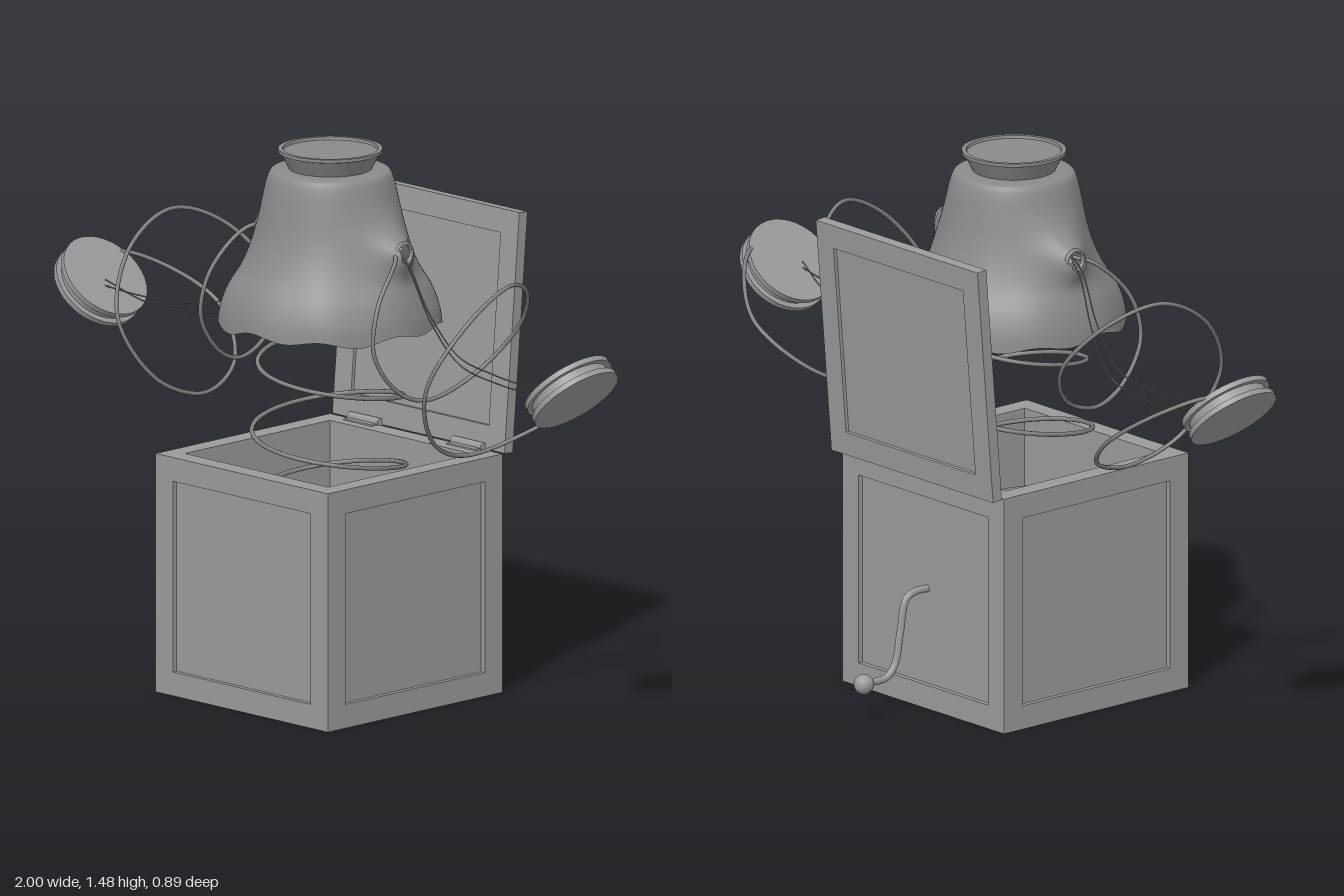
import * as THREE from 'three';
import { mergeVertices } from 'three/addons/utils/BufferGeometryUtils.js';

const grey = new THREE.MeshStandardMaterial({ color: 0x9a9a9a });
const wireGrey = new THREE.MeshStandardMaterial({ color: 0x808080 });
const gownGrey = new THREE.MeshStandardMaterial({ color: 0x8a8a8a, side: THREE.DoubleSide });

function add(parent, name, geometry, material = grey) {
  const mesh = new THREE.Mesh(geometry, material);
  mesh.name = name;
  parent.add(mesh);
  return mesh;
}

function tube(points, radius, segments = 120, sides = 8) {
  const curve = new THREE.CatmullRomCurve3(points.map(p => new THREE.Vector3(...p)));
  return new THREE.TubeGeometry(curve, segments, radius, sides);
}

// Framed board standing on y = 0, outer face at z = 0, with a recessed panel
function framedBoard(name, w, h, bx, by, t, recess, recessInside) {
  const board = new THREE.Group();
  board.name = name;
  const rect = (path, x, y0, y1) =>
    path.moveTo(-x, y0).lineTo(x, y0).lineTo(x, y1).lineTo(-x, y1).closePath();
  const shape = new THREE.Shape();
  rect(shape, w / 2, 0, h);
  const hole = new THREE.Path();
  rect(hole, w / 2 - bx, by, h - by);
  shape.holes.push(hole);
  const frame = new THREE.ExtrudeGeometry(shape, { depth: t, bevelEnabled: false });
  add(board, 'frame', frame.translate(0, 0, -t));
  const depth = t - recess - recessInside;
  const panel = new THREE.BoxGeometry(w - 2 * bx, h - 2 * by, depth);
  add(board, 'panel', panel.translate(0, h / 2, -recess - depth / 2));
  return board;
}

function createBox() {
  const box = new THREE.Group();
  box.name = 'box';
  box.position.z = 0.12;
  const wall = 0.055;
  for (let i = 0; i < 4; i++) {
    const side = i % 2 === 1; // side walls fit between the front and back
    const board = framedBoard('wall', side ? 0.54 : 0.65, 0.65, side ? 0.01 : 0.065, 0.065, wall, 0.014, 0);
    const turn = new THREE.Group();
    turn.name = 'wallSide';
    board.position.z = 0.325;
    turn.rotation.y = i * Math.PI / 2;
    turn.add(board);
    box.add(turn);
  }
  add(box, 'floor', new THREE.BoxGeometry(0.54, 0.03, 0.54).translate(0, 0.015, 0));
  return box;
}

// Open lid, leaning slightly back, with its hinges
function createLid() {
  const group = new THREE.Group();
  group.name = 'lidAssembly';
  const lid = framedBoard('lid', 0.65, 0.65, 0.065, 0.065, 0.031, 0.01, 0.01);
  lid.position.set(0, 0.65, -0.213);
  lid.rotation.x = -0.085;
  group.add(lid);
  for (const x of [-0.195, 0.195]) {
    const pin = new THREE.CylinderGeometry(0.012, 0.012, 0.115, 16).rotateZ(Math.PI / 2);
    add(group, 'hingePin', pin).position.set(x, 0.656, -0.207);
    add(group, 'hingeLeaf', new THREE.BoxGeometry(0.105, 0.004, 0.03)).position.set(x, 0.652, -0.193);
  }
  return group;
}

function createCrank() {
  const crank = new THREE.Group();
  crank.name = 'crank';
  add(crank, 'crankRod', tube([
    [0, 0.327, -0.18], [0, 0.327, -0.235], [0, 0.312, -0.266], [0, 0.22, -0.287],
    [0, 0.14, -0.305], [0, 0.11, -0.333], [0, 0.106, -0.41]], 0.01, 60, 12));
  add(crank, 'crankKnob', new THREE.SphereGeometry(0.027, 24, 16)).position.set(0, 0.106, -0.415);
  return crank;
}

// Hollow bell-shaped gown with arm holes and a wavy hem
function createGown() {
  const gown = new THREE.Group();
  gown.name = 'gown';
  gown.position.z = 0.115;
  const armY = 1.235, armZ = -0.015;
  const profile = new THREE.SplineCurve([
    [0.298, 1.015], [0.291, 1.06], [0.272, 1.11], [0.237, 1.165], [0.212, 1.22], [0.194, 1.28],
    [0.182, 1.34], [0.172, 1.39], [0.161, 1.42], [0.145, 1.428], [0.105, 1.43]
  ].map(p => new THREE.Vector2(...p)));
  let geo = new THREE.LatheGeometry(profile.getPoints(80), 144);
  geo.deleteAttribute('uv');
  geo.deleteAttribute('normal');
  geo = mergeVertices(geo, 1e-5);
  const pos = geo.attributes.position;
  const armDistance = i => Math.hypot(pos.getY(i) - armY, pos.getZ(i) - armZ);
  // drop the faces inside the arm holes
  const kept = [];
  for (let i = 0; i < geo.index.count; i += 3) {
    const tri = [0, 1, 2].map(k => geo.index.getX(i + k));
    if (tri.some(v => armDistance(v) > 0.03)) kept.push(...tri);
  }
  geo.setIndex(kept);
  // push out the sleeves and ripple the hem
  for (let i = 0; i < pos.count; i++) {
    const x = pos.getX(i), y = pos.getY(i), z = pos.getZ(i), d = armDistance(i);
    const a = Math.atan2(x, z);
    const hem = Math.max(0, (1.3 - y) / 0.29) ** 2;
    const k = 1 + hem * (0.006 * Math.sin(9 * a + 0.6) + 0.004 * Math.sin(5 * a));
    const push = 0.045 * Math.exp(-((d / 0.09) ** 2)) + 0.04 * Math.exp(-((d / 0.045) ** 2));
    const drop = hem * (0.008 * Math.sin(9 * a + 1.5) + 0.005 * Math.sin(4 * a + 1));
    pos.setXYZ(i, x * k + Math.sign(x) * push, y + drop, z * k);
  }
  geo.computeVertexNormals();
  add(gown, 'gownBody', geo, gownGrey);
  for (const s of [-1, 1]) {
    const cuff = add(gown, 'cuff', new THREE.TorusGeometry(0.029, 0.006, 10, 32), gownGrey);
    cuff.rotation.y = Math.PI / 2;
    cuff.position.set(s * 0.262, armY, armZ);
  }
  // flared collar with a closed dish on top
  const collar = [[0, 1.424], [0.108, 1.424], [0.112, 1.432], [0.133, 1.472], [0.139, 1.474],
    [0.139, 1.483], [0.127, 1.483], [0.125, 1.475], [0, 1.475]];
  for (let i = 0; i < collar.length - 1; i++) {
    const pts = [collar[i], collar[i + 1]].map(p => new THREE.Vector2(...p));
    add(gown, 'collar', new THREE.LatheGeometry(pts, 64), gownGrey);
  }
  return gown;
}

// Coil rising from the box floor into the gown
function createMainSpring() {
  const points = [];
  for (let y = 0.04; y <= 1.27; y += 0.008) {
    const a = (y - 0.645) / 0.188 * Math.PI * 2;
    const r = 0.205 - 0.05 * Math.max(0, (y - 0.75) / 0.5);
    points.push([r * Math.cos(a), y, 0.12 + r * Math.sin(a)]);
  }
  return tube(points, 0.0062, 700, 8);
}

// One arm for side s: looping spring, two strings and a grooved disc
function createArm(s) {
  const arm = new THREE.Group();
  arm.name = s > 0 ? 'leftArm' : 'rightArm';
  const side = pts => pts.map(([x, y, z]) => [s * x, y, z]);
  add(arm, 'armSpring', tube(side([
    [0.22, 1.24, 0.1], [0.28, 1.225, 0.15], [0.315, 1.12, 0.25], [0.327, 1.0, 0.275],
    [0.338, 0.89, 0.2], [0.35, 0.852, 0.1], [0.385, 0.905, -0.04], [0.47, 1.035, -0.122],
    [0.575, 1.16, -0.05], [0.635, 1.205, 0.08], [0.634, 1.12, 0.24], [0.582, 0.955, 0.332],
    [0.525, 0.79, 0.25], [0.5, 0.727, 0.1], [0.56, 0.775, -0.08], [0.71, 0.893, -0.17],
    [0.84, 0.985, -0.1], [0.92, 1.025, 0.0], [0.925, 0.995, 0.06]]), 0.0058, 300), wireGrey);
  add(arm, 'armString', tube(side([
    [0.24, 1.24, 0.1], [0.28, 1.2, 0.1], [0.35, 1.06, 0.085], [0.44, 0.96, 0.07],
    [0.58, 0.93, 0.066], [0.73, 0.935, 0.085], [0.85, 0.98, 0.115]]), 0.002, 80, 6), wireGrey);
  add(arm, 'armString', tube(side([
    [0.24, 1.245, 0.105], [0.285, 1.21, 0.105], [0.355, 1.085, 0.095], [0.45, 0.985, 0.082],
    [0.58, 0.957, 0.08], [0.73, 0.953, 0.098], [0.87, 0.965, 0.118]]), 0.002, 80, 6), wireGrey);
  const disc = new THREE.Group();
  disc.name = 'handDisc';
  for (const y of [-0.02, 0.02])
    add(disc, 'flange', new THREE.CylinderGeometry(0.127, 0.127, 0.015, 48)).position.y = y;
  add(disc, 'hub', new THREE.CylinderGeometry(0.112, 0.112, 0.03, 48));
  disc.position.set(s * 0.889, 0.965, 0.094);
  disc.rotation.z = s * 0.775;
  arm.add(disc);
  return arm;
}

export function createModel() {
  const model = new THREE.Group();
  model.name = 'springToyBox';
  model.add(createBox(), createLid(), createCrank(), createGown(), createArm(-1), createArm(1));
  add(model, 'mainSpring', createMainSpring(), wireGrey);
  return model;
}
